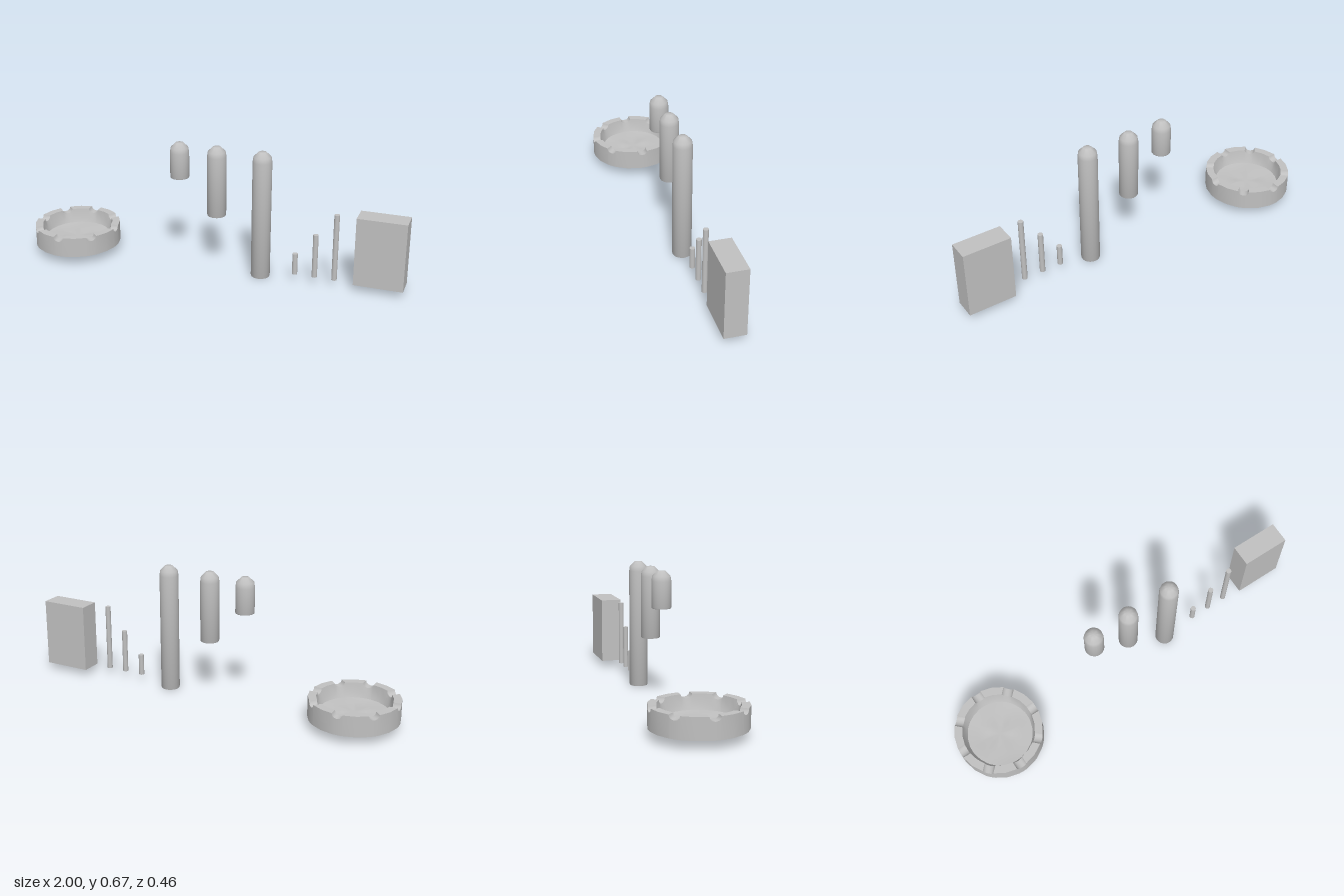
import * as THREE from 'three';
import { toCreasedNormals } from 'three/addons/utils/BufferGeometryUtils.js';

const grey = new THREE.MeshStandardMaterial({ color: 0xc0c0c0 });
grey.name = 'plainGrey';

// Round tray as rings swept from the floor centre, over the rim, to the base centre
function trayGeometry() {
  const NOTCHES = 8, HALF = 0.028, DEPTH = 0.023;
  // Columns: each notch is a straight half-round groove, then one plain rim point
  const columns = [];
  for (let n = 0; n < NOTCHES; n++) {
    const base = (n * 2 * Math.PI) / NOTCHES;
    for (let k = 0; k <= 6; k++) {
      const u = Math.PI * (1 - k / 6);
      columns.push({ base, t: HALF * Math.cos(u), drop: DEPTH * Math.sin(u) });
    }
    columns.push({ base: base + Math.PI / NOTCHES, t: 0, drop: 0 });
  }
  // Rings: radius, height, whether the notches cut it, floor unevenness
  const rings = [
    [0, 0.071, 0, 0], [0.06, 0.072, 0, 0.003], [0.12, 0.073, 0, 0.003], [0.172, 0.077, 0, 0],
    [0.181, 0.1, 0, 0], [0.19, 0.15, 1, 0],
    [0.231, 0.15, 1, 0], [0.231, 0.045, 0, 0], [0, 0.045, 0, 0],
  ];
  const positions = [], index = [], count = columns.length;
  for (const [r, y, cut, bump] of rings) {
    for (const { base, t, drop } of columns) {
      const a = base + Math.asin(t / Math.max(r, 0.18));
      positions.push(r * Math.cos(a) * 0.98, y - cut * drop + bump * Math.sin(3 * a + r * 30), -r * Math.sin(a));
    }
  }
  for (let i = 0; i < rings.length - 1; i++) {
    for (let j = 0; j < count; j++) {
      const k = (j + 1) % count;
      const a = i * count + j, b = a + count, c = (i + 1) * count + k, d = i * count + k;
      if (i < rings.length - 2) index.push(a, b, c);
      else index.push(a, b, d);
      if (i > 0 && i < rings.length - 2) index.push(a, c, d);
    }
  }
  const geometry = new THREE.BufferGeometry();
  geometry.setAttribute('position', new THREE.Float32BufferAttribute(positions, 3));
  geometry.setIndex(index);
  return toCreasedNormals(geometry, 0.6);
}

// Thick rod with a domed, flat-tipped top
function cigarGeometry(bottom) {
  const profile = [
    [0, bottom], [0.047, bottom], [0.049, bottom + 0.005], [0.049, 0.62],
    [0.045, 0.645], [0.02, 0.67], [0, 0.67],
  ].map(([x, y]) => new THREE.Vector2(x, y));
  return toCreasedNormals(new THREE.LatheGeometry(profile, 20), 0.85);
}

export function createModel() {
  const group = new THREE.Group();
  group.name = 'smokingSet';
  const add = (name, geometry, x, y = 0, z = 0) => {
    const mesh = new THREE.Mesh(geometry, grey);
    mesh.name = name;
    mesh.position.set(x, y, z);
    group.add(mesh);
  };

  add('ashtray', trayGeometry(), -0.775);

  // Cigars of three lengths, tips level
  [['shortCigar', -0.176, 0.485], ['mediumCigar', 0.024, 0.303], ['longCigar', 0.263, 0]]
    .forEach(([name, x, bottom]) => add(name, cigarGeometry(bottom), x));

  // Cigarettes of three lengths, standing level
  [['shortCigarette', 0.445, 0.15], ['mediumCigarette', 0.548, 0.268], ['longCigarette', 0.65, 0.39]]
    .forEach(([name, x, top]) => {
      const h = top - 0.038;
      add(name, new THREE.CylinderGeometry(0.014, 0.014, h, 12), x, 0.038 + h / 2);
    });

  add('packet', new THREE.BoxGeometry(0.25, 0.358, 0.111), 0.875, 0.213, -0.035);
  return group;
}
